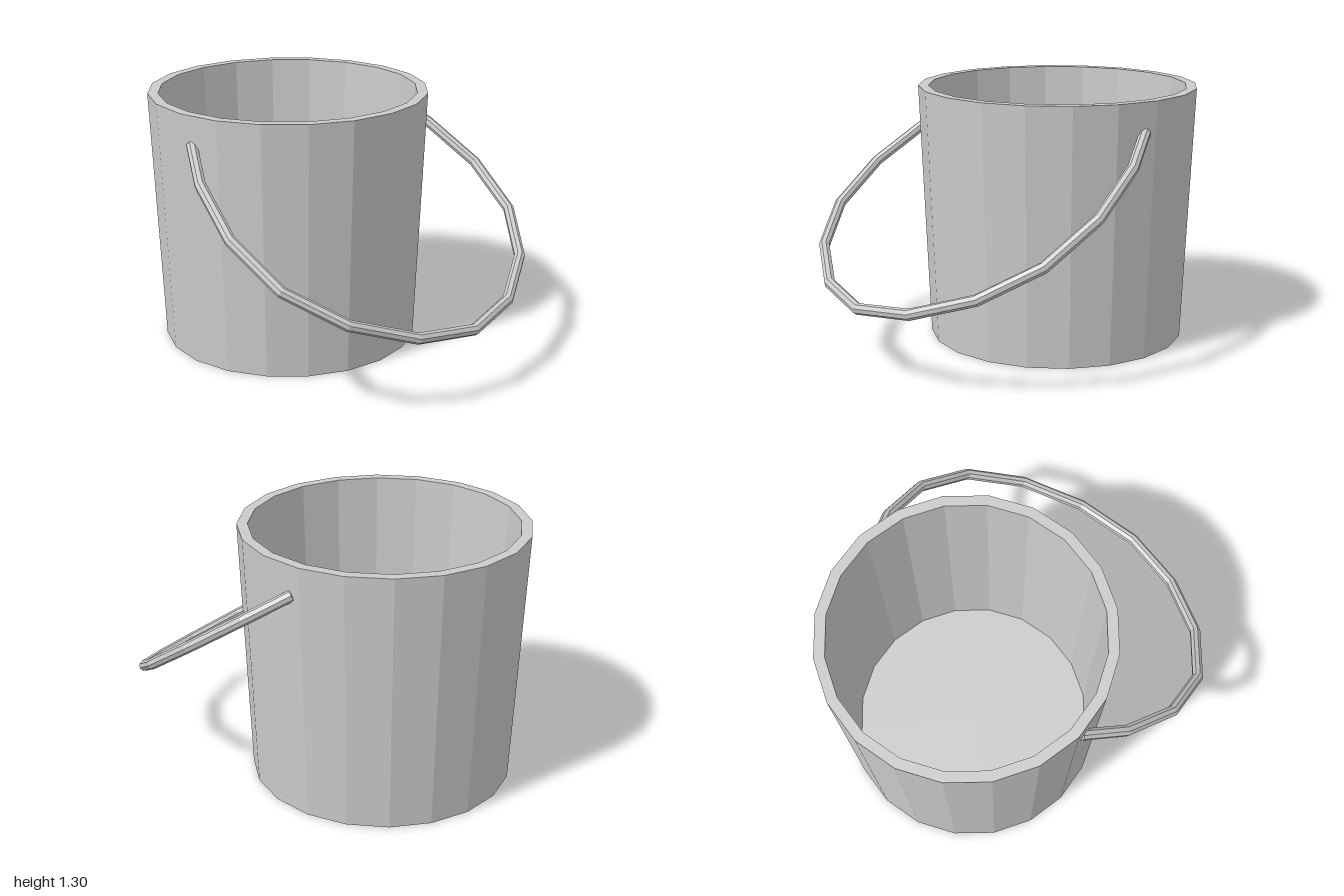
import * as THREE from 'three';

export function createModel() {
  const group = new THREE.Group();
  const material = new THREE.MeshStandardMaterial({ color: 0xcccccc, flatShading: true });
  const add = (name, geometry, parent = group) => {
    const mesh = new THREE.Mesh(geometry, material);
    mesh.name = name;
    parent.add(mesh);
    return mesh;
  };

  // Tapered bucket with a thick wall: underside, outer wall, rim, inner wall, floor
  const profile = [[0, 0], [0.66, 0], [0.713, 1.305], [0.66, 1.305], [0.612, 0.05], [0, 0.05]]
    .map(([r, y]) => new THREE.Vector2(r, y));
  add('bucket', new THREE.LatheGeometry(profile, 20)).position.z = -0.287;

  // Handle hanging forward in a sloped plane: half path as [x, z], mirrored in x
  const half = [[0.687, -0.235], [0.805, -0.04], [0.873, 0.24], [0.82, 0.52], [0.625, 0.75], [0.33, 0.91]];
  const mirrored = half.map(([x, z]) => [-x, z]).reverse();
  const points = [...half, [0, 0.97], ...mirrored]
    .map(([x, z]) => new THREE.Vector3(x, 0.355 + (0.97 - z) * 0.663, z));
  const path = new THREE.CatmullRomCurve3(points);
  // Sample by point index so that each ring sits on a corner of the path
  path.getPointAt = (t, target) => path.getPoint(t, target);
  path.getTangentAt = (t, target) => path.getTangent(t, target);

  const handle = new THREE.Group();
  handle.name = 'handle';
  group.add(handle);
  const radius = 0.028, sides = 8;
  add('handleRod', new THREE.TubeGeometry(path, points.length - 1, radius, sides), handle);

  // Caps closing the two rod ends at the bucket wall
  for (const t of [0, 1]) {
    const cap = add('handleEnd', new THREE.CircleGeometry(radius, sides), handle);
    const outward = path.getTangent(t).multiplyScalar(t ? 1 : -1);
    cap.position.copy(path.getPoint(t));
    cap.quaternion.setFromUnitVectors(new THREE.Vector3(0, 0, 1), outward);
  }
  return group;
}
